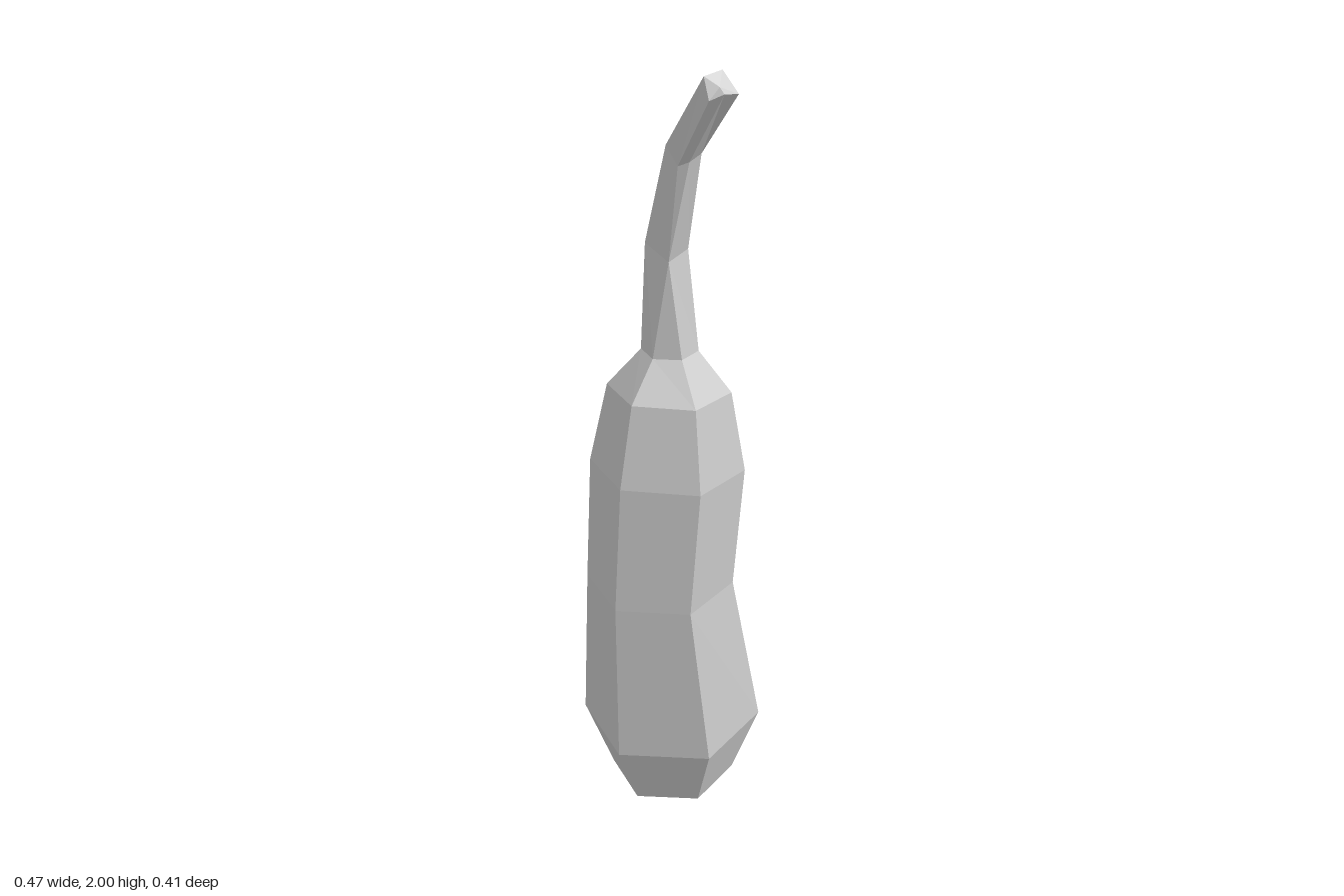
import * as THREE from 'three';

const V = (x, y, z) => new THREE.Vector3(x, y, z);

// Six-sided ring: centre, half widths, and tilt (height gained towards +x)
function hexRing(cx, y, cz, rx, rz, tilt = 0) {
  return Array.from({ length: 6 }, (_, i) => {
    const a = (i * Math.PI) / 3;
    return V(cx + rx * Math.cos(a), y + tilt * Math.cos(a), cz + rz * Math.sin(a) / Math.sin(Math.PI / 3));
  });
}

// Skin consecutive rings (listed upwards); merged corners give no triangle
function loft(rings) {
  const pos = [];
  const tri = (a, b, c) => {
    if (new THREE.Triangle(a, b, c).getArea() > 1e-7) pos.push(...a, ...b, ...c);
  };
  for (let i = 0; i + 1 < rings.length; i++) {
    for (let j = 0; j < 6; j++) {
      const k = (j + 1) % 6;
      const [a, b, c, d] = [rings[i][j], rings[i][k], rings[i + 1][k], rings[i + 1][j]];
      tri(a, d, c);
      tri(a, c, b);
    }
  }
  const geo = new THREE.BufferGeometry();
  geo.setAttribute('position', new THREE.Float32BufferAttribute(pos, 3));
  geo.computeVertexNormals();
  return geo;
}

export function createModel() {
  const group = new THREE.Group();
  const material = new THREE.MeshStandardMaterial({ color: 0xcccccc, flatShading: true });
  const add = (name, rings) => {
    const mesh = new THREE.Mesh(loft(rings), material);
    mesh.name = name;
    group.add(mesh);
  };

  // Bulging, slightly bent body with a pointed base
  const neck = hexRing(-0.011, 1.295, 0, 0.069, 0.06);
  add('body', [
    Array(6).fill(V(0, 0, 0)),
    hexRing(0.002, 0.054, 0, 0.163, 0.14, 0.007),
    hexRing(-0.001, 0.238, -0.002, 0.234, 0.202, 0.008),
    hexRing(-0.047, 0.67, -0.006, 0.187, 0.161),
    hexRing(-0.022, 0.99, 0, 0.192, 0.166, -0.012),
    hexRing(-0.014, 1.195, 0, 0.151, 0.131, -0.01),
    neck,
  ]);

  // Ring corners: right, front right, front left, left, back left, back right
  const stemRing = (fr, fl, l, bl, br) => [fr, fr, fl, l, bl, br];

  // Thin stem curving forward and to the right, closed by a cut end
  const fl = V(-0.043, 1.53, 0.02);
  const end = stemRing(
    V(-0.043, 1.95, 0.204), V(-0.086, 1.957, 0.196), V(-0.103, 1.942, 0.168),
    V(-0.1, 1.992, 0.152), V(-0.056, 2, 0.17));
  const endCentre = end.slice(1).reduce((s, p) => s.add(p), V(0, 0, 0)).divideScalar(5);
  add('stem', [
    neck,
    stemRing(V(0.035, 1.54, 0.02), fl, fl, V(-0.033, 1.56, -0.055), V(0.028, 1.56, -0.053)),
    stemRing(V(0.007, 1.785, 0.075), V(-0.036, 1.775, 0.072), V(-0.05, 1.765, 0.05),
      V(-0.04, 1.805, 0.01), V(0.012, 1.81, 0.015)),
    end,
    Array(6).fill(endCentre),
  ]);
  return group;
}
